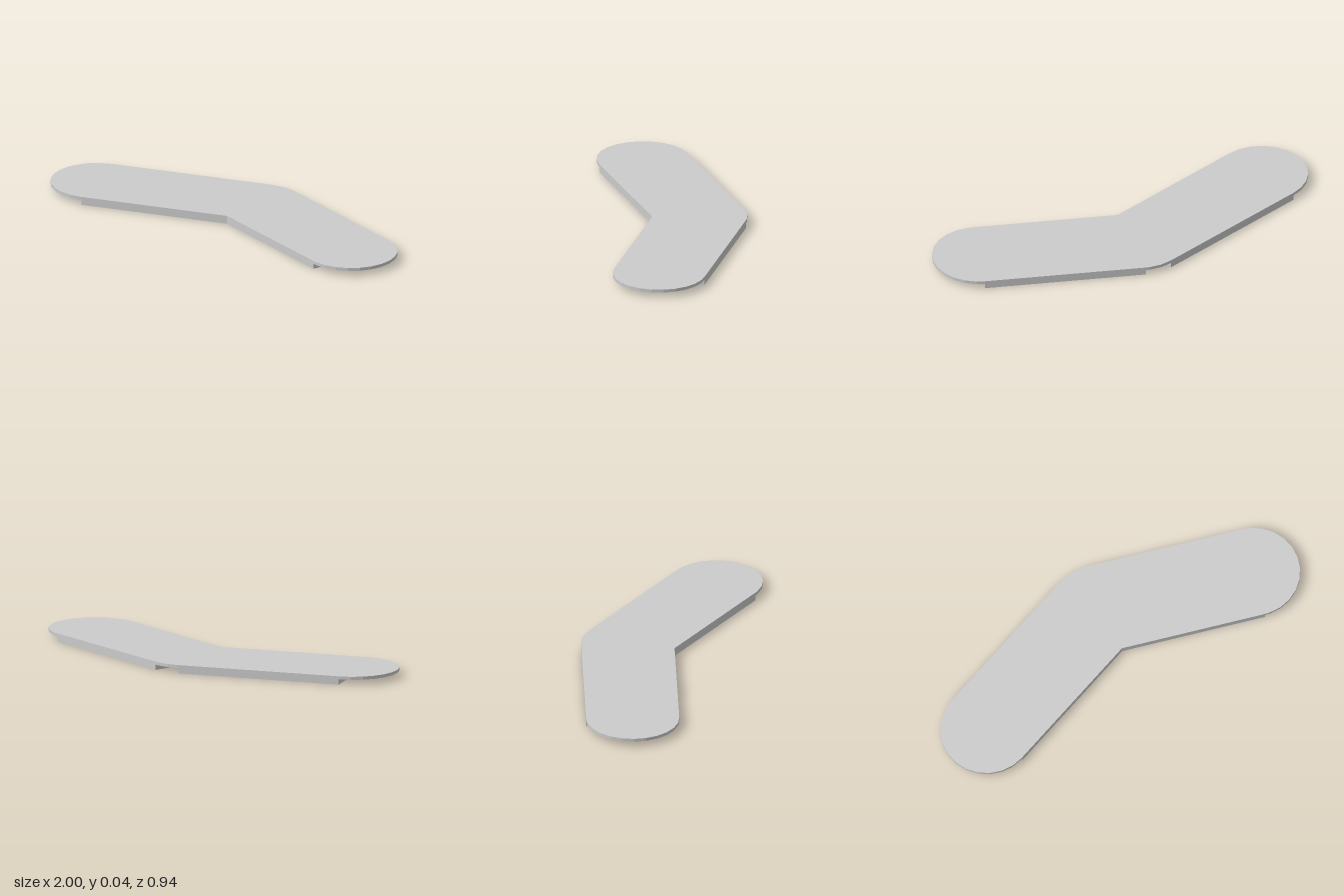
import * as THREE from 'three';

const R = 0.236;                       // half width of each arm
const BEND = 35;                       // bend angle in degrees
const LEFT_END = [-0.764, -0.236];
const RIGHT_END = [0.764, 0.236];
const ELBOW = [0.09, -0.236];
const TOP = 0.043, STEP = 0.027;

// Point on a circle in the ground plane (x, z); angle in degrees
const onCircle = ([x, z], deg) => {
  const a = THREE.MathUtils.degToRad(deg);
  return new THREE.Vector2(x + R * Math.cos(a), z + R * Math.sin(a));
};

// Faceted arc: both ends plus every multiple of 15 degrees in between
function arc(centre, from, to) {
  const points = [onCircle(centre, from)];
  for (let d = Math.floor(from / 15) * 15 + 15; d < to; d += 15) points.push(onCircle(centre, d));
  points.push(onCircle(centre, to));
  return points;
}

// Slab with an (x, z) outline between two heights
function slab(name, outline, bottom, top, material) {
  const geometry = new THREE.ExtrudeGeometry(new THREE.Shape(outline), {
    depth: top - bottom, bevelEnabled: false,
  });
  geometry.rotateX(Math.PI / 2).translate(0, top, 0);
  const mesh = new THREE.Mesh(geometry, material);
  mesh.name = name;
  return mesh;
}

export function createModel() {
  const group = new THREE.Group();
  group.name = 'bentPlate';
  const material = new THREE.MeshStandardMaterial({ color: 0xcccccc, flatShading: true });

  // Inner corner where the two front edges meet
  const inner = new THREE.Vector2(
    ELBOW[0] - R * Math.tan(THREE.MathUtils.degToRad(BEND / 2)), ELBOW[1] + R);

  // Thin top plate with rounded ends and a rounded outer elbow
  const plate = [
    ...arc(LEFT_END, 90, 270),
    ...arc(ELBOW, -90, BEND - 90),
    ...arc(RIGHT_END, BEND - 90, BEND + 90),
    inner,
  ];
  group.add(slab('topPlate', plate, STEP, TOP, material));

  // Square-ended core below, with a wedge notch at the outer elbow
  const core = [
    onCircle(LEFT_END, 90),
    onCircle(LEFT_END, 270),
    onCircle(ELBOW, -90),
    new THREE.Vector2(...ELBOW),
    onCircle(ELBOW, BEND - 90),
    onCircle(RIGHT_END, BEND - 90),
    onCircle(RIGHT_END, BEND + 90),
    inner,
  ];
  group.add(slab('lowerCore', core, 0, STEP, material));

  return group;
}
